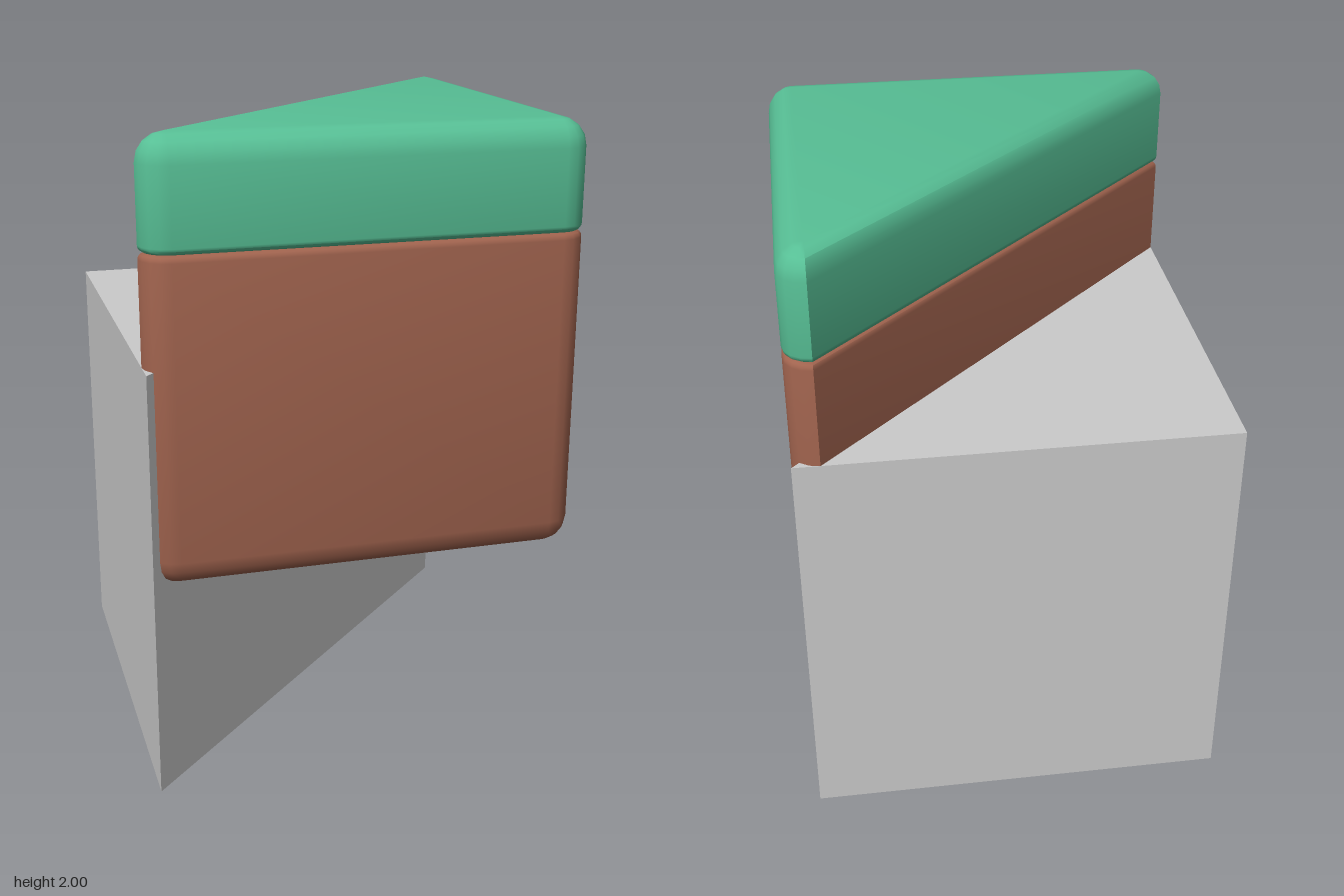
import * as THREE from 'three';
import { toCreasedNormals } from 'three/addons/utils/BufferGeometryUtils.js';

const H = 0.667;      // half width of the square footprint
const R = 0.084;      // large edge radius
const SMALL = 0.02;   // small edge radius at the seam between the layers
const STEPS = 4;      // segments per rounded edge

// Half-square outline with three rounded corners, shrunk by d
function outline(d) {
  const c = H - R, r = R - d, points = [];
  [[c, -c], [c, c], [-c, c]].forEach(([x, z], corner) => {
    for (let i = 0; i <= STEPS; i++) {
      const a = (corner - 1 + i / STEPS) * Math.PI / 2;
      points.push([x + r * Math.cos(a), z + r * Math.sin(a)]);
    }
  });
  return points;
}

// Triangular slab with its own edge radius at the bottom and at the top
function roundedWedge(y0, y1, rBottom, rTop) {
  const levels = [];
  for (let i = STEPS; i >= 0; i--) {
    const a = i / STEPS * Math.PI / 2;
    levels.push([y0 + rBottom * (1 - Math.sin(a)), rBottom * (1 - Math.cos(a))]);
  }
  for (let i = 0; i <= STEPS; i++) {
    const a = i / STEPS * Math.PI / 2;
    levels.push([y1 - rTop * (1 - Math.sin(a)), rTop * (1 - Math.cos(a))]);
  }
  const positions = [], index = [];
  const n = outline(0).length;
  levels.forEach(([y, d]) => {
    outline(Math.min(d, R * 0.97)).forEach(([x, z]) => positions.push(x, y, z));
  });
  // Sides
  for (let k = 0; k < levels.length - 1; k++) {
    for (let i = 0; i < n; i++) {
      const a = k * n + i, b = k * n + (i + 1) % n;
      index.push(a, a + n, b + n, a, b + n, b);
    }
  }
  // Flat bottom and top
  const top = (levels.length - 1) * n;
  for (let i = 1; i < n - 1; i++) {
    index.push(0, i, i + 1, top, top + i + 1, top + i);
  }
  const geometry = new THREE.BufferGeometry();
  geometry.setAttribute('position', new THREE.Float32BufferAttribute(positions, 3));
  geometry.setIndex(index);
  return toCreasedNormals(geometry, 0.7);
}

function addPart(group, name, geometry, color) {
  const mesh = new THREE.Mesh(geometry, new THREE.MeshStandardMaterial({ color }));
  mesh.name = name;
  group.add(mesh);
}

export function createModel() {
  const group = new THREE.Group();
  group.name = 'cornerBlock';

  // Sharp triangular prism filling the back right half
  const triangle = new THREE.Shape([
    new THREE.Vector2(-H, H), new THREE.Vector2(-H, -H), new THREE.Vector2(H, H),
  ]);
  const prism = new THREE.ExtrudeGeometry(triangle, { depth: 1.333, bevelEnabled: false });
  prism.rotateX(-Math.PI / 2);
  addPart(group, 'basePrism', prism, 0xcccccc);

  // Soft earth layer and grass layer in the front left half
  addPart(group, 'earthLayer', roundedWedge(0.667, 1.667, R, SMALL), 0xa0634e);
  addPart(group, 'grassLayer', roundedWedge(1.667, 2, SMALL, R), 0x57bf95);

  return group;
}
